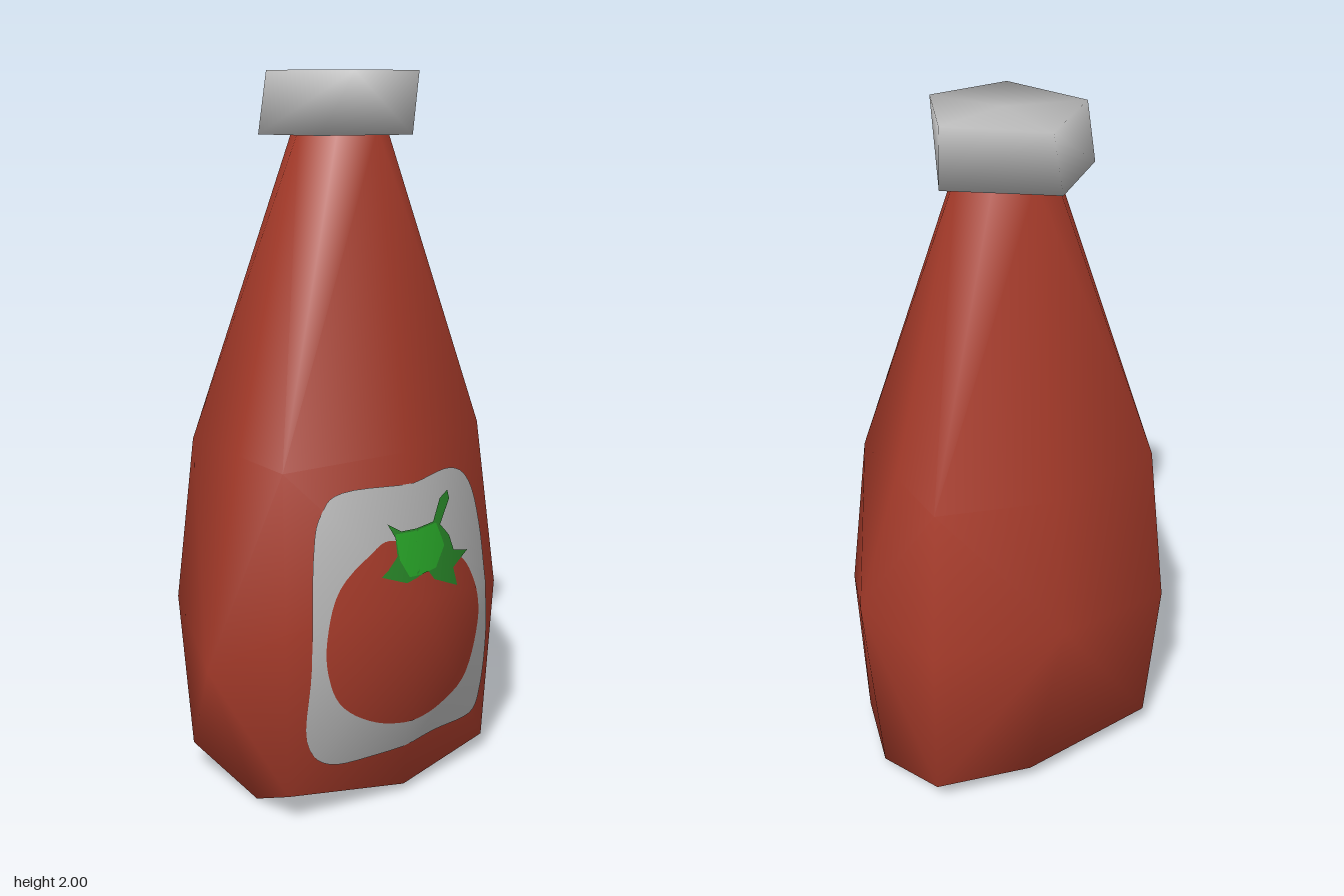
import * as THREE from 'three';

const material = (name, color) => {
  const m = new THREE.MeshStandardMaterial({ color });
  m.name = name;
  return m;
};

// Skins closed rings (front, then round by the model's left) and caps both ends
// with fans whose centres sit at heights bottomY and topY.
function skin(rings, bottomY, topY) {
  const n = rings[0].length;
  const index = [];
  const pos = rings.flat(2);
  rings.slice(0, -1).forEach((_, r) => {
    for (let i = 0; i < n; i++) {
      const j = (i + 1) % n;
      const a = r * n + i, b = r * n + j, c = b + n, d = a + n;
      if ((i + r) % 2) index.push(a, b, c, a, c, d);
      else index.push(a, b, d, b, c, d);
    }
  });
  [[0, bottomY], [rings.length - 1, topY]].forEach(([r, y]) => {
    const centre = pos.length / 3;
    const mean = (k) => rings[r].reduce((s, p) => s + p[k], 0) / n;
    pos.push(mean(0), y, mean(2));
    for (let i = 0; i < n; i++) {
      const a = r * n + i, b = r * n + (i + 1) % n;
      index.push(centre, ...(r ? [a, b] : [b, a]));
    }
  });
  const g = new THREE.BufferGeometry();
  g.setAttribute('position', new THREE.Float32BufferAttribute(pos, 3));
  g.setIndex(index);
  g.computeVertexNormals();
  return g;
}

// Thin patch laid on the front of a mesh: a clockwise outline filled by rings about a centre.
function patch(target, outline, [cx, cy], lift, curved) {
  const pts = outline.map(([x, y]) => new THREE.Vector3(x, y, 0));
  const path = new THREE.CatmullRomCurve3(pts, true, 'catmullrom', curved ? 0.5 : 0);
  const rim = [];
  const step = 5;
  for (let i = 0; i < pts.length * step; i++) rim.push(path.getPoint(i / (pts.length * step)));
  const rings = 16, n = rim.length;
  const pos = [], nor = [], index = [];
  const ray = new THREE.Raycaster();
  const back = new THREE.Vector3(0, 0, -1);
  for (let r = 0; r <= rings; r++) {
    rim.forEach((p, i) => {
      const x = cx + (p.x - cx) * r / rings, y = cy + (p.y - cy) * r / rings;
      ray.set(new THREE.Vector3(x, y, 2), back);
      const hit = ray.intersectObject(target)[0];
      const normal = hit?.normal ?? new THREE.Vector3(0, 0, 1);
      pos.push(x, y, (hit ? hit.point.z : 0.25) + lift);
      nor.push(normal.x, normal.y, normal.z);
      if (r < rings) {
        const a = r * n + i, b = r * n + (i + 1) % n;
        index.push(a, b, b + n, a, b + n, a + n);
      }
    });
  }
  const g = new THREE.BufferGeometry();
  g.setAttribute('position', new THREE.Float32BufferAttribute(pos, 3));
  g.setAttribute('normal', new THREE.Float32BufferAttribute(nor, 3));
  g.setIndex(index);
  return g;
}

export function createModel() {
  const group = new THREE.Group();
  group.name = 'sauceBottle';
  const red = material('sauce red', 0xa93c2b);
  const grey = material('light grey', 0xb9b9b9);
  const green = material('leaf green', 0x2aac2a);
  const darkGreen = material('dark leaf green', 0x2a8a2a);
  const add = (name, geometry, mat) => {
    const mesh = new THREE.Mesh(geometry, mat);
    mesh.name = name;
    group.add(mesh);
    return mesh;
  };

  // Bottle: eight-sided, bulging at the waist
  const base = [
    [0, 0.02, 0.28], [0.36, 0.05, 0.235], [0.42, 0.03, 0], [0.36, 0.08, -0.235],
    [0.07, 0.06, -0.28], [-0.365, 0.075, -0.235], [-0.35, 0, 0.05], [-0.378, 0.085, 0.23],
  ];
  const waist = [
    [-0.02, 0.6, 0.358], [0.378, 0.54, 0.257], [0.475, 0.63, -0.01], [0.36, 0.55, -0.232],
    [0.01, 0.6, -0.36], [-0.39, 0.53, -0.26], [-0.475, 0.4, 0], [-0.382, 0.55, 0.226],
  ];
  const shoulder = [
    [-0.01, 1, 0.29], [0.34, 1.02, 0.21], [0.342, 1.02, 0], [0.34, 1.02, -0.225],
    [0.01, 1, -0.294], [-0.36, 1, -0.21], [-0.36, 0.99, 0], [-0.385, 0.99, 0.225],
  ];
  const neck = base.map((_, i) => {
    const a = i * Math.PI / 4, s = i % 2 ? 0.87 : 1;
    return [0.142 * s * Math.sin(a), 1.85, 0.153 * s * Math.cos(a)];
  });
  const bottle = add('bottle', skin([base, waist, shoulder, neck], 0.015, 1.85), red);

  // Cap: slightly twisted five-sided prism
  const rim = [[0.06, 0.225], [0.21, -0.04], [-0.04, -0.22], [-0.24, -0.05], [-0.19, 0.145]];
  const crown = [[0.115, 0.19], [0.21, -0.045], [-0.01, -0.22], [-0.215, -0.045], [-0.115, 0.195]];
  const level = (pts, y) => pts.map(([x, z]) => [x, y, z]);
  add('cap', skin([level(rim, 1.835), level(crown, 2)], 1.835, 2), grey);

  // Label with a round fruit
  add('label', patch(bottle, [
    [-0.31, 0.75], [-0.29, 0.87], [-0.22, 0.92], [0, 0.915], [0.18, 0.92], [0.27, 0.86],
    [0.31, 0.73], [0.325, 0.55], [0.345, 0.38], [0.33, 0.22], [0.28, 0.15], [0.1, 0.155],
    [-0.1, 0.145], [-0.26, 0.155], [-0.33, 0.24], [-0.315, 0.45],
  ], [0, 0.53], 0.004, true), grey);
  add('fruit', patch(bottle, [
    [-0.275, 0.52], [-0.24, 0.66], [-0.14, 0.76], [-0.07, 0.77], [0.05, 0.72], [0.2, 0.66],
    [0.27, 0.55], [0.29, 0.44], [0.24, 0.3], [0.12, 0.235], [0, 0.225], [-0.12, 0.25],
    [-0.23, 0.32], [-0.27, 0.41],
  ], [0, 0.5], 0.006, true), red);

  // Leaves and stem
  add('leaves', patch(bottle, [
    [-0.1, 0.82], [-0.06, 0.795], [0.08, 0.795], [0.11, 0.85], [0.15, 0.865], [0.155, 0.84],
    [0.1, 0.78], [0.14, 0.74], [0.16, 0.69], [0.23, 0.675], [0.15, 0.645], [0.165, 0.59],
    [0.05, 0.64], [0.02, 0.675], [-0.06, 0.655], [-0.13, 0.68], [-0.08, 0.73], [-0.08, 0.78],
  ], [0.02, 0.73], 0.008, false), darkGreen);
  add('leafCentre', patch(bottle, [
    [-0.08, 0.79], [0.08, 0.79], [0.11, 0.72], [0.06, 0.67], [-0.05, 0.67], [-0.075, 0.72],
  ], [0.01, 0.73], 0.0095, false), green);
  return group;
}
